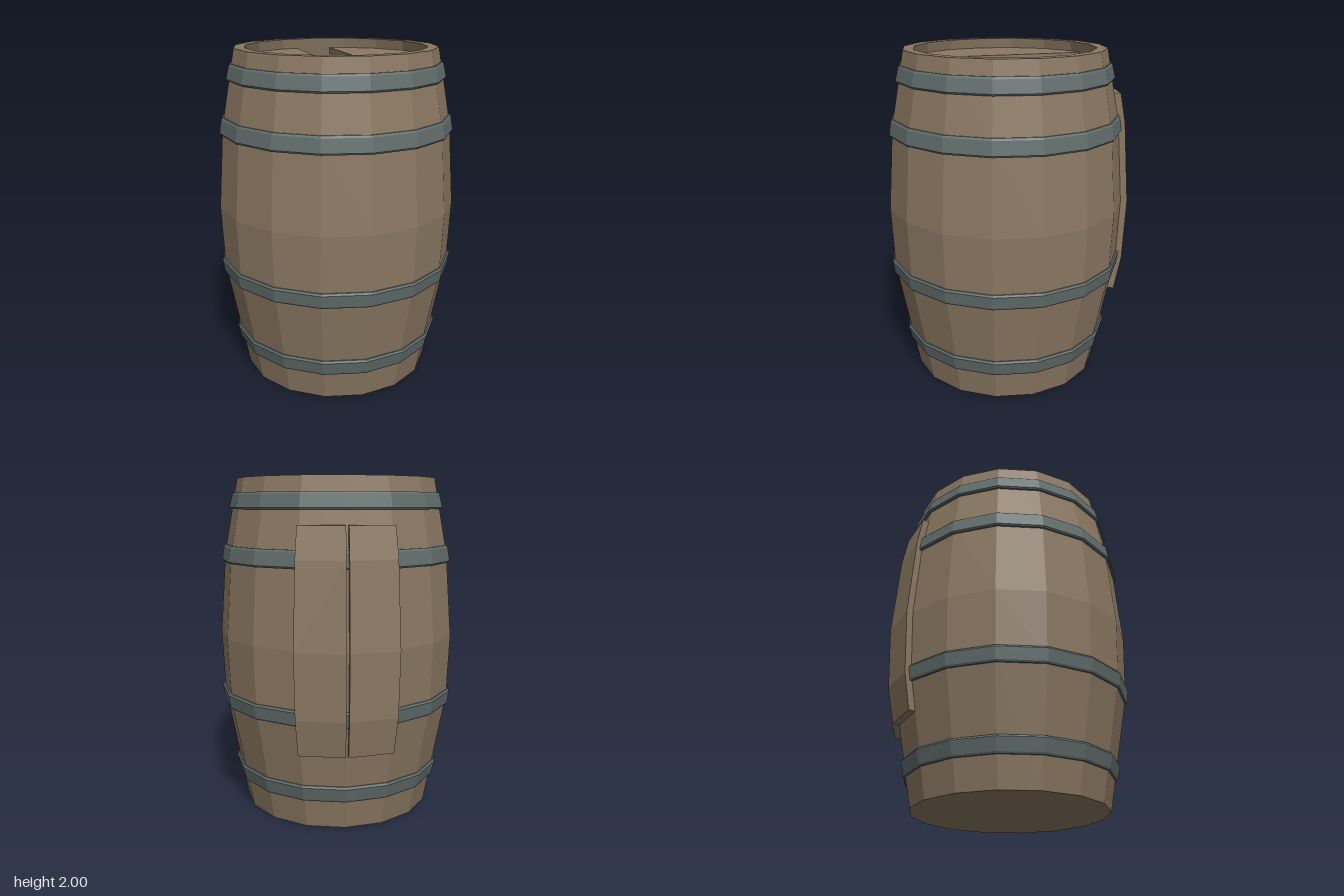
import * as THREE from 'three';

const SIDES = 16;
const wood = new THREE.MeshStandardMaterial({ color: 0x8b7862 });
wood.name = 'wood';
const iron = new THREE.MeshStandardMaterial({ color: 0x616d6c });
iron.name = 'iron';

// Faceted normals
function facet(geometry) {
  const g = geometry.index ? geometry.toNonIndexed() : geometry;
  g.computeVertexNormals();
  return g;
}

function part(name, geometry, material) {
  const mesh = new THREE.Mesh(facet(geometry), material);
  mesh.name = name;
  return mesh;
}

function lathe(points) {
  return new THREE.LatheGeometry(points.map(([r, y]) => new THREE.Vector2(r, y)), SIDES);
}

// Bulging outer profile: radius, height
const profile = [[0.578, 0], [0.705, 0.69], [0.72, 1.07], [0.682, 1.56], [0.6, 2]];

function radiusAt(y) {
  for (let i = 1; i < profile.length; i++) {
    const [r0, y0] = profile[i - 1], [r1, y1] = profile[i];
    if (y <= y1) return r0 + (r1 - r0) * (y - y0) / (y1 - y0);
  }
  return profile[profile.length - 1][0];
}

// Iron hoop with a slightly chamfered upper lip
function hoop(y0, y1) {
  const r0 = radiusAt(y0) + 0.016, r1 = radiusAt(y1) + 0.016;
  return lathe([[r0 - 0.03, y0], [r0 - 0.006, y0], [r0, y0 + 0.01],
    [r1, y1 - 0.012], [r1 - 0.008, y1], [r1 - 0.03, y1]]);
}

// Plank lying on one facet of the back, bent along the bulge
function plank(side) {
  const rows = [0.475, 0.69, 1.07, 1.56, 1.74];
  const a = Math.PI * 2 / SIDES, gap = 0.008;
  const loops = rows.map((y) => {
    const ri = radiusAt(y) - 0.002, ro = radiusAt(y) + 0.04;
    const corners = [
      [gap, -ri], [ri * Math.sin(a), -ri * Math.cos(a)],
      [ro * Math.sin(a), -ro * Math.cos(a)], [gap, -ro],
    ].map(([x, z]) => [x * side, y, z]);
    return side > 0 ? corners : corners.reverse();
  });
  const pos = [];
  const quad = (p, q, r, s) => pos.push(...p, ...q, ...r, ...p, ...r, ...s);
  for (let i = 0; i + 1 < loops.length; i++) {
    for (let j = 0; j < 4; j++) {
      const k = (j + 1) % 4;
      quad(loops[i][j], loops[i][k], loops[i + 1][k], loops[i + 1][j]);
    }
  }
  quad(...loops[loops.length - 1]);
  quad(...[...loops[0]].reverse());
  const g = new THREE.BufferGeometry();
  g.setAttribute('position', new THREE.Float32BufferAttribute(pos, 3));
  return g;
}

// One side of the lid; the middle board is missing
function lidBoard(side) {
  const r = 0.545, cut = 0.11, a = Math.PI * 2 / SIDES;
  const zCut = r - (r - r * Math.cos(a)) * cut / (r * Math.sin(a));
  const pts = [new THREE.Vector2(cut * side, zCut)];
  for (let k = 1; k < SIDES / 2; k++) {
    pts.push(new THREE.Vector2(side * r * Math.sin(k * a), r * Math.cos(k * a)));
  }
  pts.push(new THREE.Vector2(cut * side, -zCut));
  const g = new THREE.ExtrudeGeometry(new THREE.Shape(pts), { depth: 0.04, bevelEnabled: false });
  return g.rotateX(-Math.PI / 2).translate(0, 1.9, 0);
}

export function createModel() {
  const model = new THREE.Group();
  model.name = 'barrel';
  const barrel = new THREE.Group();
  barrel.name = 'barrelParts';
  barrel.position.z = 0.02;
  model.add(barrel);

  // Hollow body: base, outer staves, rim, inner wall and floor
  const inner = [...profile].reverse().map(([r, y]) => [r - 0.062, Math.max(y, 0.06)]);
  barrel.add(part('body', lathe([[0, 0], ...profile, ...inner, [0, 0.06]]), wood));

  // Hoops
  const hoops = [[0.175, 0.272], [0.645, 0.738], [1.51, 1.61], [1.82, 1.915]];
  hoops.forEach(([y0, y1], i) => barrel.add(part('hoop' + (i + 1), hoop(y0, y1), iron)));

  // Lid boards and back planks, mirrored
  for (const side of [1, -1]) {
    const label = side > 0 ? 'Left' : 'Right';
    barrel.add(part('lidBoard' + label, lidBoard(side), wood));
    barrel.add(part('backPlank' + label, plank(side), wood));
  }
  return model;
}
